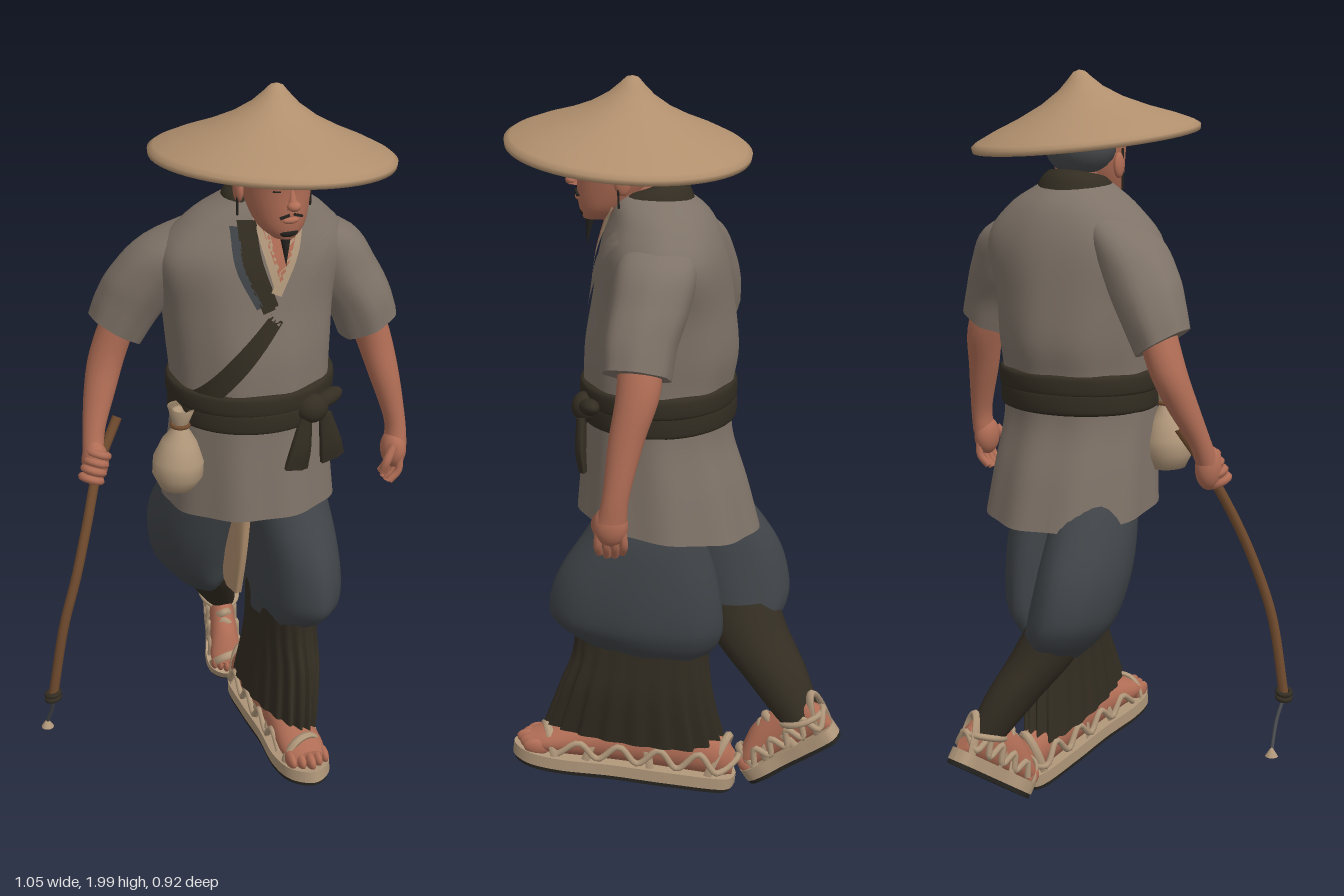
import * as THREE from 'three';
import { mergeGeometries, mergeVertices } from 'three/addons/utils/BufferGeometryUtils.js';

const mat = (name, color) => Object.assign(new THREE.MeshStandardMaterial({ color }), { name });
const M = {
  straw: mat('straw', 0xb08f6d), tunic: mat('tunic grey', 0x7f7368), trousers: mat('trouser grey', 0x404448),
  dark: mat('dark cloth', 0x332d22), skin: mat('skin', 0xb06d55), hair: mat('grey hair', 0x4a4c4f),
  ink: mat('black', 0x25231f), wood: mat('wood', 0x704b2e), linen: mat('linen', 0xb0977a),
};
const V = (x, y, z) => new THREE.Vector3(x, y, z);

function add(parent, name, geo, material, pos = [0, 0, 0], scale = [1, 1, 1], rot = [0, 0, 0]) {
  const m = new THREE.Mesh(geo, material);
  m.name = name;
  m.position.set(...pos); m.scale.set(...scale); m.rotation.set(...rot);
  parent.add(m);
  return m;
}

// Smooth surface patch from a function of u and v
function grid(fn, nu, nv) {
  const pos = [], idx = [];
  for (let j = 0; j <= nv; j++) for (let i = 0; i <= nu; i++) pos.push(...fn(i / nu, j / nv).toArray());
  for (let j = 0; j < nv; j++) for (let i = 0; i < nu; i++) {
    const a = j * (nu + 1) + i, b = a + 1, c = a + nu + 1, d = c + 1;
    idx.push(a, c, b, b, c, d);
  }
  let g = new THREE.BufferGeometry();
  g.setAttribute('position', new THREE.Float32BufferAttribute(pos, 3));
  g.setIndex(idx);
  g = mergeVertices(g, 1e-5);
  g.computeVertexNormals();
  return g;
}

// Sections are [y, centre x, centre z, radius x, radius z]
function sampler(sec) {
  const a = new THREE.CatmullRomCurve3(sec.map(s => V(s[1], s[0], s[2])), false, 'catmullrom');
  const b = new THREE.CatmullRomCurve3(sec.map(s => V(s[3], s[4], 0)), false, 'catmullrom');
  return t => ({ c: a.getPoint(t), r: b.getPoint(t) });
}

// Closed loft; the hem tilt and the folds grow towards the last section
function loft(sec, { tx = 0, tz = 0, folds = 0, depth = 0, nu = 32 } = {}) {
  const at = sampler(sec), dir = Math.sign(sec[sec.length - 1][0] - sec[0][0]);
  const ring = (u, t) => {
    const { c, r } = at(t), th = u * Math.PI * 2 * dir;
    const k = 1 + depth * t * Math.cos(folds * th);
    const x = r.x * k * Math.cos(th), z = r.y * k * Math.sin(th);
    return V(c.x + x, c.y + t * (tx * x + tz * z), c.z + z);
  };
  const nv = (sec.length - 1) * 5;
  return mergeGeometries([
    grid(ring, nu, nv),
    grid((u, v) => at(0).c.lerp(ring(u, 0), v), nu, 1),
    grid((u, v) => ring(u, 1).lerp(at(1).c, v), nu, 1),
  ]);
}

const ball = (r = 1) => new THREE.SphereGeometry(r, 20, 14);
const tube = (pts, r, n = 24) => new THREE.TubeGeometry(new THREE.CatmullRomCurve3(pts.map(p => V(...p))), n, r, 8);

const JACKET = [[1.715, .12, .065, .07, .07], [1.69, .12, .055, .115, .105], [1.64, .115, .035, .19, .135], [1.55, .11, .03, .26, .165],
  [1.42, .1, .03, .235, .185], [1.3, .1, .035, .222, .2], [1.2, .1, .045, .215, .195], [1.08, .1, .045, .215, .195],
  [.95, .105, .03, .225, .22], [.82, .11, .018, .235, .243]];

// Cloth band laid on the front of the jacket; points are [x, y, width], going down
function band(pts) {
  const at = sampler(JACKET), table = Array.from({ length: 301 }, (_, i) => at(i / 300));
  const path = new THREE.CatmullRomCurve3(pts.map(p => V(...p)));
  return grid((u, v) => {
    const p = path.getPoint(v), d = path.getTangent(v), w = (u - .5) * p.z;
    const l = Math.hypot(d.x, d.y), x = p.x - d.y / l * w, y = p.y + d.x / l * w;
    const s = table.reduce((m, q) => Math.abs(q.c.y - y) < Math.abs(m.c.y - y) ? q : m);
    const k = Math.min(1, Math.abs((x - s.c.x) / s.r.x));
    return V(x, y, s.c.z + s.r.y * Math.sqrt(1 - k * k) + .01);
  }, 6, 24);
}

// Sandalled foot pointing along +z, standing on its own y = 0
function foot(name, L, W, H) {
  const g = new THREE.Group();
  g.name = name;
  const half = [[0, -.5], [.34, -.45], [.42, -.2], [.44, .05], [.52, .28], [.4, .43], [0, .5]];
  const outline = half.concat(half.slice(1, -1).reverse().map(([x, y]) => [-x, y]))
    .map(([x, y]) => new THREE.Vector2(x * W, -y * L));
  const shape = new THREE.Shape().moveTo(outline[0].x, outline[0].y).splineThru([...outline.slice(1), outline[0]]);
  const slab = d => new THREE.ExtrudeGeometry(shape, { depth: d, bevelEnabled: false, curveSegments: 40 }).rotateX(-Math.PI / 2);
  add(g, 'sandalSole', slab(.012), M.ink);
  add(g, 'sandalStraw', slab(.034), M.linen, [0, .012, 0], [1.04, 1, 1.02]);
  const prof = [[-.49, .16, .6], [-.4, .33, .95], [-.1, .35, 1], [.15, .4, .9], [.34, .44, .6], [.44, .34, .4]];
  add(g, 'footSkin', loft(prof.map(([t, w, h]) => [t * L, 0, -.035 - h * H / 2, w * W, h * H / 2]), { nu: 20 }).rotateX(Math.PI / 2), M.skin);
  for (let i = 0; i < 5; i++)
    add(g, 'toe', ball(), M.skin, [(i - 2) * W * .17, .06, L * (.44 - Math.abs(i - 2) * .02)], [W * .1, .024, L * .06]);
  prof.slice(1, 5).forEach(([t, w, h], i) =>
    add(g, 'sandalStrap', new THREE.TorusGeometry(1, .09, 6, 20, Math.PI), M.linen, [0, .035, t * L],
      [w * W * 1.04, h * H * 1.03, .14], [i % 2 ? .25 : -.25, i % 2 ? .3 : -.3, 0]));
  // Zigzag lacing round both sides and the heel
  const side = s => Array.from({ length: 9 }, (_, i) =>
    [s * W * (.35 + i * .009), .035 + H * (i % 2 ? .62 : .2) * (1 - i * .035), L * (-.42 + i * .09)]);
  add(g, 'sandalLacing', tube([...side(-1).reverse(), [0, .035 + H * .5, -L * .51], ...side(1)], .009, 110), M.linen);
  return g;
}

export function createModel() {
  const man = new THREE.Group();
  man.name = 'walkingTraveller';

  // Straw hat, slightly tilted
  const hat = [[0, .1], [.1, .07], [.2, .025], [.3, -.012], [.312, -.012], [.314, .002], [.3, .012], [.25, .035], [.18, .062],
    [.11, .095], [.06, .128], [.032, .155], [.016, .172], [0, .177]].map(p => new THREE.Vector2(...p));
  add(man, 'strawHat', new THREE.LatheGeometry(hat, 56), M.straw, [.125, 1.822, .118], [1, 1, 1], [-.072, 0, -.08]);

  // Head
  add(man, 'head', loft([[1.635, .122, .2, .03, .035], [1.66, .122, .18, .058, .065], [1.7, .122, .16, .075, .09],
    [1.76, .122, .14, .088, .11], [1.82, .122, .135, .09, .115], [1.88, .12, .13, .06, .08]]), M.skin);
  add(man, 'neck', loft([[1.56, .12, .08, .07, .07], [1.65, .122, .09, .06, .065], [1.76, .122, .1, .06, .065]]), M.skin);
  add(man, 'hair', ball(), M.hair, [.122, 1.8, .085], [.1, .085, .095]);
  add(man, 'nose', new THREE.ConeGeometry(.017, .06, 10), M.skin, [.122, 1.752, .255], [1, 1, 1], [-.22, 0, 0]);
  add(man, 'noseTip', ball(), M.skin, [.122, 1.732, .264], [.018, .013, .016]);
  add(man, 'lips', ball(), M.skin, [.122, 1.69, .246], [.022, .009, .01]);
  add(man, 'goatee', new THREE.ConeGeometry(.018, .1, 10), M.ink, [.12, 1.61, .222], [1, 1, .9], [Math.PI - .12, 0, 0]);
  add(man, 'chinTuft', ball(), M.ink, [.122, 1.655, .232], [.026, .014, .014]);
  for (const s of [-1, 1]) {
    add(man, 'ear', ball(), M.skin, [.122 + s * .094, 1.745, .13], [.012, .035, .022]);
    add(man, 'chinCord', new THREE.CylinderGeometry(.003, .003, .11, 6), M.ink, [.122 + s * .1, 1.735, .14]);
    add(man, 'eyebrow', new THREE.BoxGeometry(.034, .005, .008), M.ink, [.122 + s * .036, 1.788, .24], [1, 1, 1], [0, s * .35, -s * .12]);
    add(man, 'eye', new THREE.BoxGeometry(.02, .004, .008), M.ink, [.122 + s * .036, 1.766, .238], [1, 1, 1], [0, s * .35, 0]);
    add(man, 'moustache', new THREE.BoxGeometry(.026, .006, .008), M.ink, [.122 + s * .018, 1.702, .249], [1, 1, 1], [0, s * .25, -s * .35]);
  }

  // Jacket with collar, lapels and shoulder strap
  add(man, 'jacket', loft(JACKET, { tz: .12, folds: 9, depth: .02, nu: 72 }), M.tunic);
  add(man, 'collar', loft([[1.64, .12, .05, .12, .115], [1.7, .12, .06, .1, .1], [1.722, .12, .065, .08, .08]], { tz: -.25 }), M.dark);
  add(man, 'chestSkin', band([[.125, 1.68, .11], [.122, 1.6, .07], [.115, 1.51, .005]]), M.skin);
  add(man, 'rightUnderLapel', band([[.07, 1.68, .03], [.085, 1.6, .03], [.11, 1.49, .025]]), M.linen);
  add(man, 'leftUnderLapel', band([[.18, 1.68, .035], [.155, 1.59, .035], [.1, 1.48, .03]]), M.linen);
  add(man, 'rightLapel', band([[.04, 1.67, .045], [.043, 1.57, .05], [.085, 1.44, .045]]), M.dark);
  add(man, 'rightLapelEdge', band([[.01, 1.655, .022], [.01, 1.56, .022], [.055, 1.45, .018]]), M.trousers);
  add(man, 'upperStrap', band([[.27, 1.62, .045], [.2, 1.53, .045], [.09, 1.41, .045]]), M.tunic);
  add(man, 'lowerStrap', band([[.1, 1.42, .04], [.0, 1.3, .05], [-.09, 1.18, .045]]), M.dark);

  // Sash with knot and hanging ends
  [[1.15, 1.21], [1.1, 1.165]].forEach(([a, b], i) => add(man, 'sash', loft([[a, .1, .045, .215, .195],
    [a + .01, .1, .045, .228 - i * .005, .207], [b - .01, .1, .045, .228 - i * .005, .207], [b, .1, .045, .215, .195]], { nu: 48 }), M.dark));
  add(man, 'sashKnot', ball(), M.dark, [.2, 1.15, .235], [.045, .04, .035]);
  add(man, 'sashLoop', ball(), M.dark, [.25, 1.165, .22], [.05, .022, .025], [0, .3, .2]);
  for (const [x, l, r] of [[.18, .15, -.2], [.235, .14, .18]])
    add(man, 'sashEnd', loft([[0, 0, 0, .018, .012], [-l * .6, 0, .004, .032, .014], [-l, 0, 0, .036, .01]], { folds: 5, depth: .12 }), M.dark,
      [x, 1.13, .243], [1, 1, 1], [0, .15, r]);

  // Drawstring bag on the right hip
  const bag = [[0, 0], [.045, .008], [.066, .045], [.066, .085], [.045, .135], [.018, .17], [.02, .18], [.036, .225], [.02, .215], [0, .18]];
  add(man, 'bag', new THREE.LatheGeometry(bag.map(p => new THREE.Vector2(...p)), 24), M.linen, [-.138, .918, .12], [1.04, 1.08, 1.04], [0, 0, -.06]);
  add(man, 'bagCord', new THREE.TorusGeometry(.022, .006, 8, 20), M.wood, [-.127, 1.108, .12], [1, 1, 1], [Math.PI / 2, 0, 0]);

  // Sleeves and arms
  add(man, 'rightSleeve', loft([[1.64, .02, .01, .05, .06], [1.56, -.085, -.025, .085, .1], [1.46, -.155, -.06, .09, .1],
    [1.38, -.2, -.082, .078, .092], [1.315, -.23, -.092, .067, .082]], { tx: -.62, folds: 7, depth: .03 }), M.tunic);
  add(man, 'leftSleeve', loft([[1.64, .2, .035, .05, .06], [1.56, .3, .04, .088, .1], [1.46, .355, .06, .09, .1],
    [1.38, .398, .082, .08, .092], [1.305, .425, .09, .074, .085]], { tx: .5, tz: .12, folds: 7, depth: .03 }), M.tunic);
  add(man, 'rightArm', loft([[1.4, -.195, -.09, .05, .055], [1.25, -.248, -.1, .05, .052], [1.15, -.282, -.078, .043, .045],
    [1.05, -.315, -.04, .03, .034], [.99, -.325, -.015, .03, .035]], { nu: 20 }), M.skin);
  add(man, 'leftArm', loft([[1.4, .395, .08, .05, .055], [1.27, .44, .085, .05, .055], [1.15, .468, .115, .042, .045],
    [1.02, .495, .14, .029, .034], [.95, .495, .152, .03, .038]], { nu: 20 }), M.skin);
  add(man, 'rightPalm', ball(), M.skin, [-.325, .975, -.005], [.036, .06, .042]);
  add(man, 'leftPalm', ball(), M.skin, [.488, .935, .155], [.034, .055, .044]);
  for (let i = 0; i < 4; i++) {
    add(man, 'rightFinger', new THREE.TorusGeometry(.026, .011, 8, 14), M.skin, [-.318 - i * .009, 1.0 - i * .021, .004 + i * .005], [1, 1, 1], [1.3, -.4, 0]);
    add(man, 'leftFinger', tube([[.495, .92, .125 + i * .02], [.49, .88, .122 + i * .022], [.465, .84 + Math.abs(i - 1.5) * .008, .128 + i * .019]], .0105, 8), M.skin);
  }
  add(man, 'leftThumb', tube([[.475, .96, .185], [.45, .92, .195], [.442, .885, .185]], .012, 8), M.skin);

  // Bent walking stick with a small bell
  add(man, 'walkingStick', tube([[-.25, 1.08, -.035], [-.32, .96, .005], [-.375, .82, .06], [-.42, .69, .095], [-.465, .55, .11], [-.507, .32, .112]], .014, 40), M.wood);
  for (const y of [.325, .34]) add(man, 'stickBinding', new THREE.TorusGeometry(.018, .007, 8, 16), M.dark, [-.505, y, .112], [1, 1, 1], [1.4, .2, 0]);
  add(man, 'bellCord', tube([[-.507, .33, .112], [-.5, .27, .08], [-.505, .2, .042]], .005), M.hair);
  add(man, 'bell', new THREE.ConeGeometry(.018, .028, 10), M.linen, [-.505, .192, .04]);

  // Baggy trousers and the cloth hanging between them
  add(man, 'leftTrouserLeg', loft([[.95, .17, .05, .09, .11], [.82, .195, .075, .112, .148], [.68, .208, .098, .112, .21], [.56, .208, .105, .108, .232],
    [.5, .2, .1, .095, .215], [.455, .185, .09, .078, .175]], { tz: .16, folds: 8, depth: .025 }), M.trousers);
  add(man, 'rightTrouserLeg', loft([[.95, .03, .02, .09, .12], [.82, .0, -.045, .105, .148], [.68, -.012, -.115, .112, .168], [.56, .0, -.16, .108, .155],
    [.49, .025, -.175, .09, .13], [.44, .045, -.18, .06, .09]], { tz: -.15, folds: 8, depth: .025 }), M.trousers);
  add(man, 'hangingCloth', loft([[.86, .075, .02, .03, .1], [.66, .07, .02, .022, .08], [.5, .07, .01, .016, .05]], { folds: 6, depth: .08 }), M.straw);

  // Pleated leggings
  add(man, 'leftLegging', loft([[.52, .185, .09, .08, .18], [.42, .185, .095, .078, .185], [.32, .182, .105, .076, .205],
    [.165, .162, .11, .068, .245]], { tz: .16, folds: 20, depth: .05, nu: 120 }), M.dark);
  add(man, 'rightLegging', loft([[.54, .03, -.17, .085, .11], [.44, .07, -.21, .085, .105], [.34, .122, -.28, .07, .085],
    [.235, .17, -.345, .05, .058]], { tz: -.25, folds: 6, depth: .02 }), M.dark);

  // Feet: the left one planted in front, the right one pushing off behind
  const left = foot('leftFoot', .62, .14, .13);
  left.position.set(.155, .046, .148);
  left.rotation.set(-.13, -.05, 0, 'YXZ');
  const right = foot('rightFoot', .31, .105, .12);
  right.position.set(.172, .098, -.335);
  right.rotation.set(.6, -.245, 0, 'YXZ');
  man.add(left, right);
  add(man, 'rightAnkleTie', new THREE.TorusGeometry(.055, .009, 8, 24), M.linen, [.173, .238, -.352], [1, 1.12, 1], [Math.PI / 2 + .35, 0, 0]);
  return man;
}
